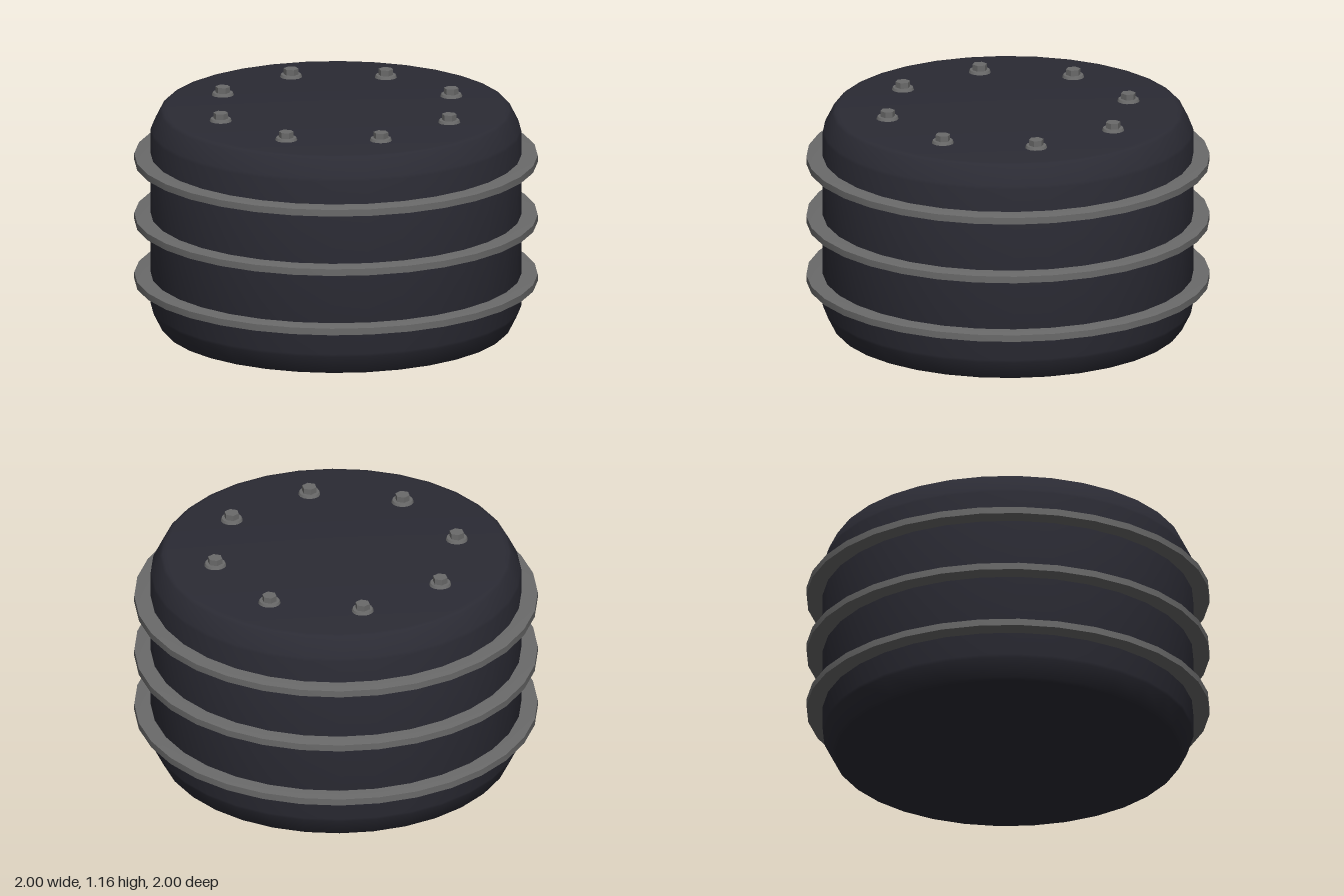
import * as THREE from 'three';
import { toCreasedNormals } from 'three/addons/utils/BufferGeometryUtils.js';

const SIDES = 32;
const HEIGHT = 1.12;
const BOLTS = 8;

// Revolve a profile of [radius, y] pairs listed from bottom to top
function revolve(profile, crease) {
  const points = profile.map(([r, y]) => new THREE.Vector2(r, y));
  return toCreasedNormals(new THREE.LatheGeometry(points, SIDES), crease);
}

export function createModel() {
  const model = new THREE.Group();
  model.name = 'ribbedDrum';

  const darkBody = new THREE.MeshStandardMaterial({ color: 0x2b2b34 });
  darkBody.name = 'dark body';
  const greyMetal = new THREE.MeshStandardMaterial({ color: 0x6a6a6a });
  greyMetal.name = 'grey metal';

  function add(parent, name, geometry, material, y) {
    const mesh = new THREE.Mesh(geometry, material);
    mesh.name = name;
    mesh.position.y = y;
    parent.add(mesh);
    return mesh;
  }

  // Drum with the same bevelled edge at the bottom and the top
  const lower = [[0, 0], [0.84, 0], [0.86, 0.003], [0.872, 0.015], [0.915, 0.1], [0.92, 0.115]];
  const upper = lower.map(([r, y]) => [r, HEIGHT - y]).reverse();
  add(model, 'drumBody', revolve([...lower, ...upper], 0.75), darkBody, 0);

  // Three flat flanges, slightly thinner at the rim
  const flange = revolve(
    [[0.91, -0.023], [0.96, -0.022], [1, -0.017], [1, 0.017], [0.96, 0.022], [0.91, 0.023]], 0.5);
  for (let i = -1; i <= 1; i++) {
    add(model, 'flange', flange, greyMetal, HEIGHT / 2 + i * 0.306);
  }

  // Circle of hexagonal bolts on washers
  const washer = new THREE.CylinderGeometry(0.05, 0.055, 0.013, 16);
  const head = toCreasedNormals(new THREE.CylinderGeometry(0.037, 0.037, 0.03, 6), 0.3);
  for (let i = 0; i < BOLTS; i++) {
    const angle = (i / BOLTS) * Math.PI * 2;
    const bolt = new THREE.Group();
    bolt.name = 'bolt';
    bolt.position.set(Math.sin(angle) * 0.613, HEIGHT, Math.cos(angle) * 0.613);
    add(bolt, 'washer', washer, greyMetal, 0.0065);
    add(bolt, 'boltHead', head, greyMetal, 0.027);
    model.add(bolt);
  }

  return model;
}
